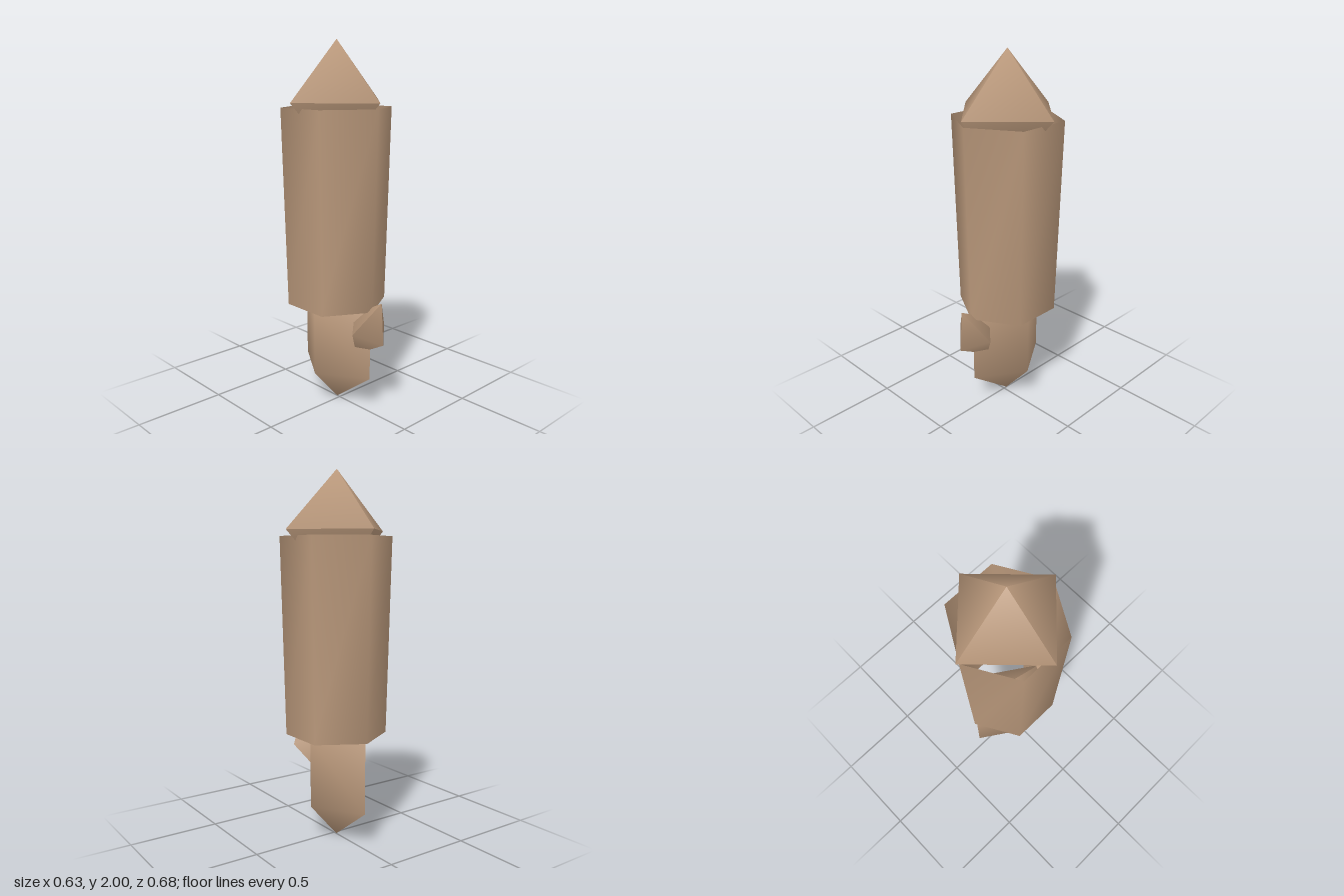
import * as THREE from 'three';
import { toCreasedNormals } from 'three/addons/utils/BufferGeometryUtils.js';

const AXIS_Z = -0.02;
const CREASE = THREE.MathUtils.degToRad(75);

export function createModel() {
  const group = new THREE.Group();
  const material = new THREE.MeshStandardMaterial({ color: 0xb8977a, side: THREE.DoubleSide });

  const add = (name, geometry, y, z) => {
    const mesh = new THREE.Mesh(toCreasedNormals(geometry, CREASE), material);
    mesh.name = name;
    mesh.position.set(0, y, z);
    group.add(mesh);
    return mesh;
  };

  // Pointed four-sided cap
  add('cap', new THREE.SphereGeometry(0.315, 4, 2), 1.685, AXIS_Z - 0.003);

  // Open six-sided tube, slightly wider at the top
  add('tube', new THREE.CylinderGeometry(0.3, 0.275, 1.07, 6, 1, true), 1.12, AXIS_Z);

  // Narrow four-sided body, pointed at both ends; its top sits inside the tube
  const profile = [[0, 0], [0.26, 0.195], [0.26, 0.58], [0, 0.775]].map(([r, y]) => new THREE.Vector2(r, y));
  const body = new THREE.LatheGeometry(profile, 4);
  body.scale(0.17 / 0.26, 1, 1);
  add('body', body, 0, AXIS_Z);

  // Tilted diamond set into the front of the body
  const diamond = new THREE.SphereGeometry(1, 4, 2);
  diamond.scale(0.122, 0.195, 0.125);
  add('frontDiamond', diamond, 0.482, 0.228).rotation.x = 0.5;

  return group;
}
